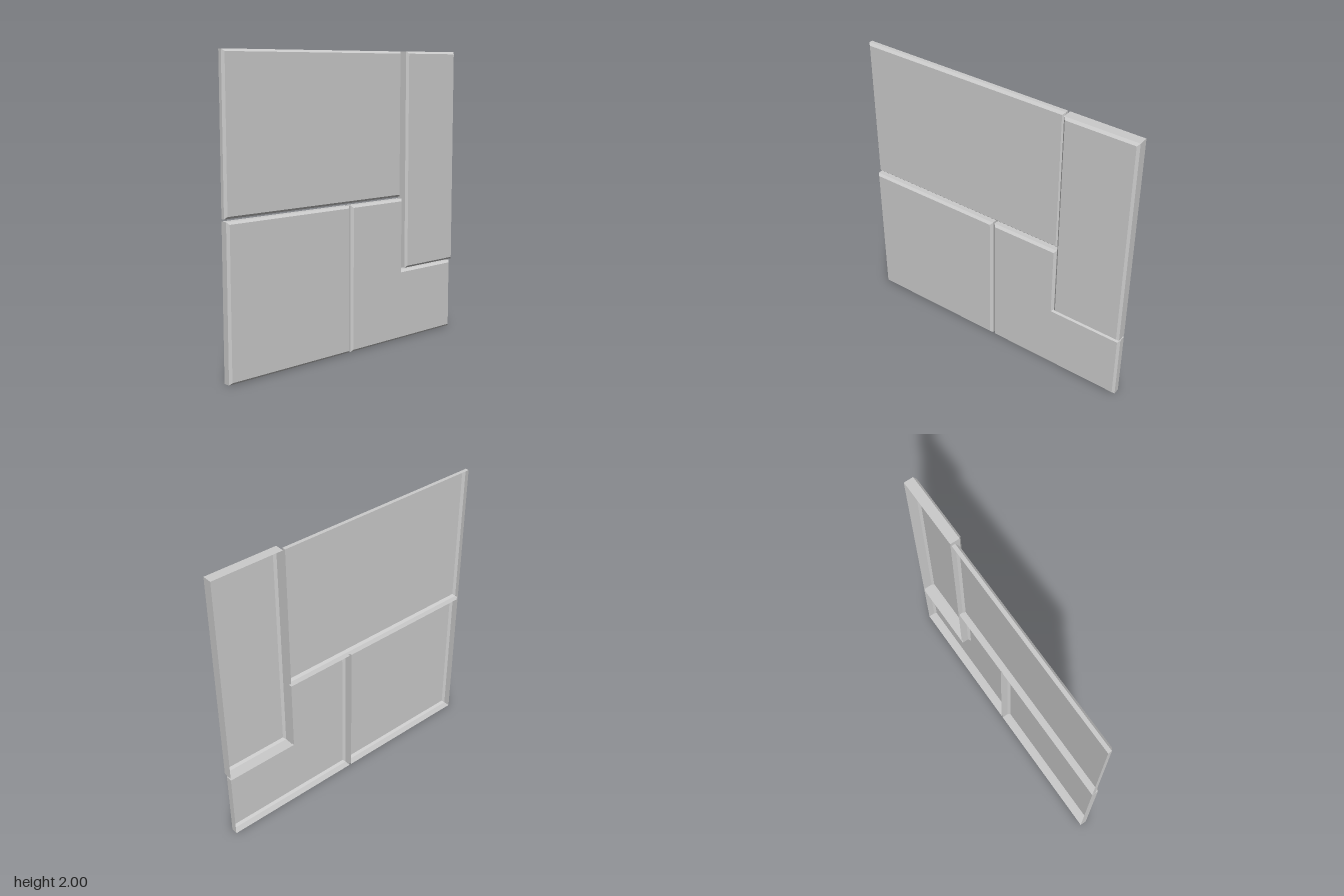
import * as THREE from 'three';

const GAP = 0.007;    // half the joint between neighbouring panels
const BEVEL = 0.015;
const BACK = -0.04;   // plane of the open backs
const E = 1 + GAP;    // outer border before the joint inset

// Move every corner of a right-angled, counter-clockwise outline inwards by d
function inset(outline, d) {
  const n = outline.length;
  return outline.map((p, i) => {
    const before = p.clone().sub(outline[(i + n - 1) % n]).normalize();
    const after = outline[(i + 1) % n].clone().sub(p).normalize();
    return new THREE.Vector2(p.x - d * (before.y + after.y), p.y + d * (before.x + after.x));
  });
}

// Open-backed shell facing +x: straight walls, bevelled rim and flat face
function createPanel(name, corners, front, material) {
  const outer = inset(corners.map(([u, y]) => new THREE.Vector2(u, y)), GAP);
  const face = inset(outer, BEVEL);
  const at = (loop, x) => loop.map((p) => [x, p.y, -p.x]);
  const loops = [at(outer, BACK), at(outer, front - BEVEL), at(face, front)];
  const positions = [];
  const n = outer.length;

  // Walls and bevel
  for (let k = 0; k < 2; k++) {
    for (let i = 0; i < n; i++) {
      const j = (i + 1) % n;
      const [a, b, c, d] = [loops[k][i], loops[k][j], loops[k + 1][j], loops[k + 1][i]];
      positions.push(...a, ...b, ...c, ...a, ...c, ...d);
    }
  }
  // Front face
  for (const tri of THREE.ShapeUtils.triangulateShape(face, [])) {
    for (const i of tri) positions.push(...loops[2][i]);
  }

  const geometry = new THREE.BufferGeometry();
  geometry.setAttribute('position', new THREE.Float32BufferAttribute(positions, 3));
  geometry.computeVertexNormals();
  const mesh = new THREE.Mesh(geometry, material);
  mesh.name = name;
  return mesh;
}

const rect = (u0, y0, u1, y1) => [[u0, y0], [u1, y0], [u1, y1], [u0, y1]];

export function createModel() {
  const group = new THREE.Group();
  group.name = 'wallPanels';
  const material = new THREE.MeshStandardMaterial({
    color: 0xcccccc, flatShading: true, side: THREE.DoubleSide,
  });
  const top = 2 + GAP;

  group.add(
    createPanel('upperWidePanel', rect(-E, 1, 0.5, top), 0, material),
    createPanel('lowerSquarePanel', rect(-E, -GAP, 0, 1), 0.02, material),
    createPanel('lowerSteppedPanel',
      [[0, -GAP], [E, -GAP], [E, 0.5], [0.5, 0.5], [0.5, 1], [0, 1]], 0.02, material),
    createPanel('tallRaisedPanel', rect(0.5, 0.5, E, top), 0.04, material),
  );
  return group;
}
